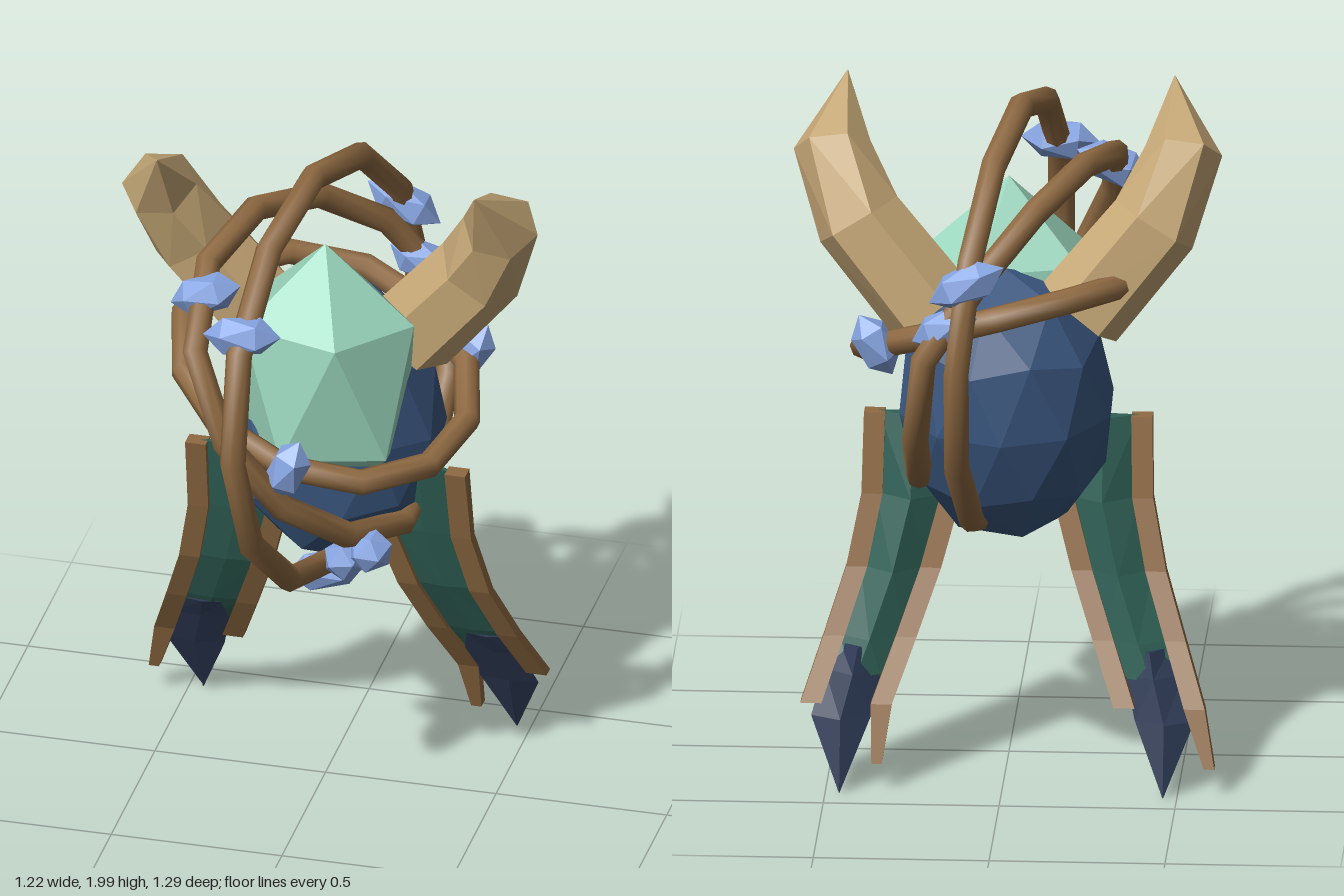
import * as THREE from 'three';

const V = (x, y, z) => new THREE.Vector3(x, y, z);

// Closed solid through a list of cross-section loops, wound outwards.
function loft(sections) {
  const n = sections[0].length, tris = [];
  for (let s = 0; s < sections.length - 1; s++) {
    const a = sections[s], b = sections[s + 1];
    for (let i = 0; i < n; i++) {
      const j = (i + 1) % n;
      tris.push([a[i], a[j], b[j]], [a[i], b[j], b[i]]);
    }
  }
  const first = sections[0], last = sections[sections.length - 1];
  for (let i = 1; i < n - 1; i++) {
    tris.push([first[0], first[i + 1], first[i]], [last[0], last[i], last[i + 1]]);
  }
  let volume = 0;
  for (const [a, b, c] of tris) volume += a.dot(b.clone().cross(c));
  const points = tris.flatMap(([a, b, c]) => (volume > 0 ? [a, b, c] : [a, c, b]));
  const g = new THREE.BufferGeometry().setFromPoints(points);
  g.computeVertexNormals();
  return g;
}

// Faceted icosahedron standing on a vertex, with one upper-ring vertex towards +x.
function gemGeometry(rx, ry, rz, detail = 0) {
  const g = new THREE.IcosahedronGeometry(1, detail);
  g.rotateZ(Math.PI / 2 - Math.atan2((1 + Math.sqrt(5)) / 2, 1));
  g.rotateY(Math.PI);
  g.scale(rx, ry, rz);
  g.computeVertexNormals();
  return g;
}

// Six-sided horn following a bent path to a point.
function hornGeometry(side) {
  const path = [
    [V(0.21, 1.38, -0.165), 0.135], [V(0.42, 1.635, -0.13), 0.13],
    [V(0.5, 1.83, -0.05), 0.11], [V(0.465, 2.0, 0.115), 0.001],
  ];
  const sections = path.map(([c, r], i) => {
    const prev = path[Math.max(i - 1, 0)][0], next = path[Math.min(i + 1, 3)][0];
    const t = next.clone().sub(prev).normalize();
    const w = V(0, 0, 1).addScaledVector(t, -t.z).normalize();
    const u = t.clone().cross(w);
    return Array.from({ length: 6 }, (_, k) => {
      const a = (k / 6) * Math.PI * 2;
      const p = c.clone().addScaledVector(u, r * Math.cos(a)).addScaledVector(w, r * Math.sin(a));
      p.x *= side;
      return p;
    });
  });
  return loft(sections);
}

// Vine ring: a twelve-cornered loop given by a point function of the angle.
function ringGeometry(pointAt) {
  const points = Array.from({ length: 12 }, (_, i) => pointAt((i / 12) * Math.PI * 2));
  const curve = new THREE.CatmullRomCurve3(points, true);
  return new THREE.TubeGeometry(curve, 12, 0.038, 8, true);
}

export function createModel() {
  const model = new THREE.Group();
  model.name = 'hornedVineCreature';
  const mat = (name, color) => new THREE.MeshStandardMaterial({ name, color });
  const wood = mat('brown wood', 0x8f6a42);
  const horn = mat('tan horn', 0xc6a877);
  const mint = mat('mint gem', 0x9bd6be);
  const blue = mat('deep blue', 0x3a5780);
  const crystalBlue = mat('light blue crystal', 0x87a5e2);
  const green = mat('dark green', 0x2f6055);
  const navy = mat('navy', 0x2d3a55);
  const add = (name, geometry, material, parent = model) => {
    const mesh = new THREE.Mesh(geometry, material);
    mesh.name = name;
    parent.add(mesh);
    return mesh;
  };

  // Body and face gem
  const body = add('body', gemGeometry(0.315, 0.42, 0.3, 1), blue);
  body.position.set(0, 1.1, -0.13);
  body.rotation.x = -0.15;
  add('faceGem', gemGeometry(0.29, 0.42, 0.245), mint).position.set(0, 1.31, 0);

  // Horns
  add('leftHorn', hornGeometry(1), horn);
  add('rightHorn', hornGeometry(-1), horn);

  // Three vine rings, each in its own tilted plane; the middle one hugs the body's left
  add('largeVineRing', ringGeometry((a) => {
    const z = 0.61 * Math.cos(a), y = 0.61 * Math.sin(a);
    return V(-0.19 * z - 0.06 * y, 1.33 + y, z);
  }), wood);
  add('middleVineRing', ringGeometry((a) => {
    const z = 0.515 * Math.cos(a) - 0.025, y = 0.46 * Math.sin(a);
    return V(Math.min(0.016 - 0.38 * z - 0.56 * y, 0.24), 1.325 + y, z);
  }), wood);
  add('waistVineRing', ringGeometry((a) => {
    const x = 0.415 * Math.cos(a), z = 0.415 * Math.sin(a);
    return V(x, 1.33 - 0.28 * x - 0.26 * z, z);
  }), wood);

  // Crystals on the vines: x, y, z, half length, tilt from upright
  const crystals = [
    [-0.12, 1.68, 0.49, 0.115, 1.65], [0.09, 1.58, -0.55, 0.12, 1.1],
    [0.02, 0.71, 0.065, 0.12, -1.3], [-0.28, 1.68, 0.28, 0.11, -1.2],
    [0.155, 1.43, -0.5, 0.1, 1.2], [0.195, 0.89, 0.245, 0.07, -1.1],
    [0.115, 0.845, 0.225, 0.07, -0.9],
    [0, 1.23, 0.43, 0.1, -0.35], [0.365, 1.3, -0.25, 0.1, -0.5],
  ];
  for (const [x, y, z, length, tilt] of crystals) {
    const crystal = add('vineCrystal', gemGeometry(0.062, length, 0.062), crystalBlue);
    crystal.position.set(x, y, z);
    crystal.rotation.z = tilt;
  }

  // Legs. Rows: y, z, inner x, outer x, depth of the ridge behind
  const rows = [
    [1.03, -0.02, 0.13, 0.41, 0.05], [0.8, -0.065, 0.13, 0.415, 0.07],
    [0.6, -0.12, 0.185, 0.455, 0.075], [0.42, -0.205, 0.25, 0.515, 0.06],
    [0.25, -0.305, 0.315, 0.575, 0.04], [0.09, -0.36, 0.34, 0.605, 0.03],
  ];
  for (const side of [1, -1]) {
    const leg = new THREE.Group();
    leg.name = side > 0 ? 'leftLeg' : 'rightLeg';
    model.add(leg);
    // Thin wooden edge strips; the one towards -x is longer on both legs
    const strip = (outer) => {
      const count = outer === (side < 0) ? 6 : 5;
      return loft(rows.slice(0, count).map(([y, z, xi, xo], i) => {
        const w = i === 5 ? 0.03 : 0.06, h = i === 0 ? 0.026 : 0.02;
        const a = side * (outer ? xo : xi), b = side * (outer ? xo - w : xi + w);
        return [V(a, y, z - h), V(b, y, z - h), V(b, y, z + h), V(a, y, z + h)];
      }));
    };
    add('outerLegStrip', strip(true), wood, leg);
    add('innerLegStrip', strip(false), wood, leg);
    // Panel and pointed foot, ridged towards the back
    const ridged = ([y, z, xi, xo, back]) => [
      V(side * xi, y, z), V(side * (xi + xo) / 2, y, z + 0.01),
      V(side * xo, y, z), V(side * (xi + xo) / 2, y, z - back),
    ];
    const panelRows = rows.slice(0, 4).map(([y, z, xi, xo, back]) => [y, z, xi + 0.04, xo - 0.04, back]);
    panelRows.push([0.32, -0.265, 0.35, 0.49, 0.03]);
    add('legPanel', loft(panelRows.map(ridged)), green, leg);
    add('footTip', loft([
      [0.4, -0.21, 0.36, 0.47, 0.065], [0.33, -0.25, 0.345, 0.51, 0.06],
      [0.21, -0.31, 0.375, 0.545, 0.045], [0.01, -0.405, 0.459, 0.461, 0.001],
    ].map(ridged)), navy, leg);
  }
  return model;
}
